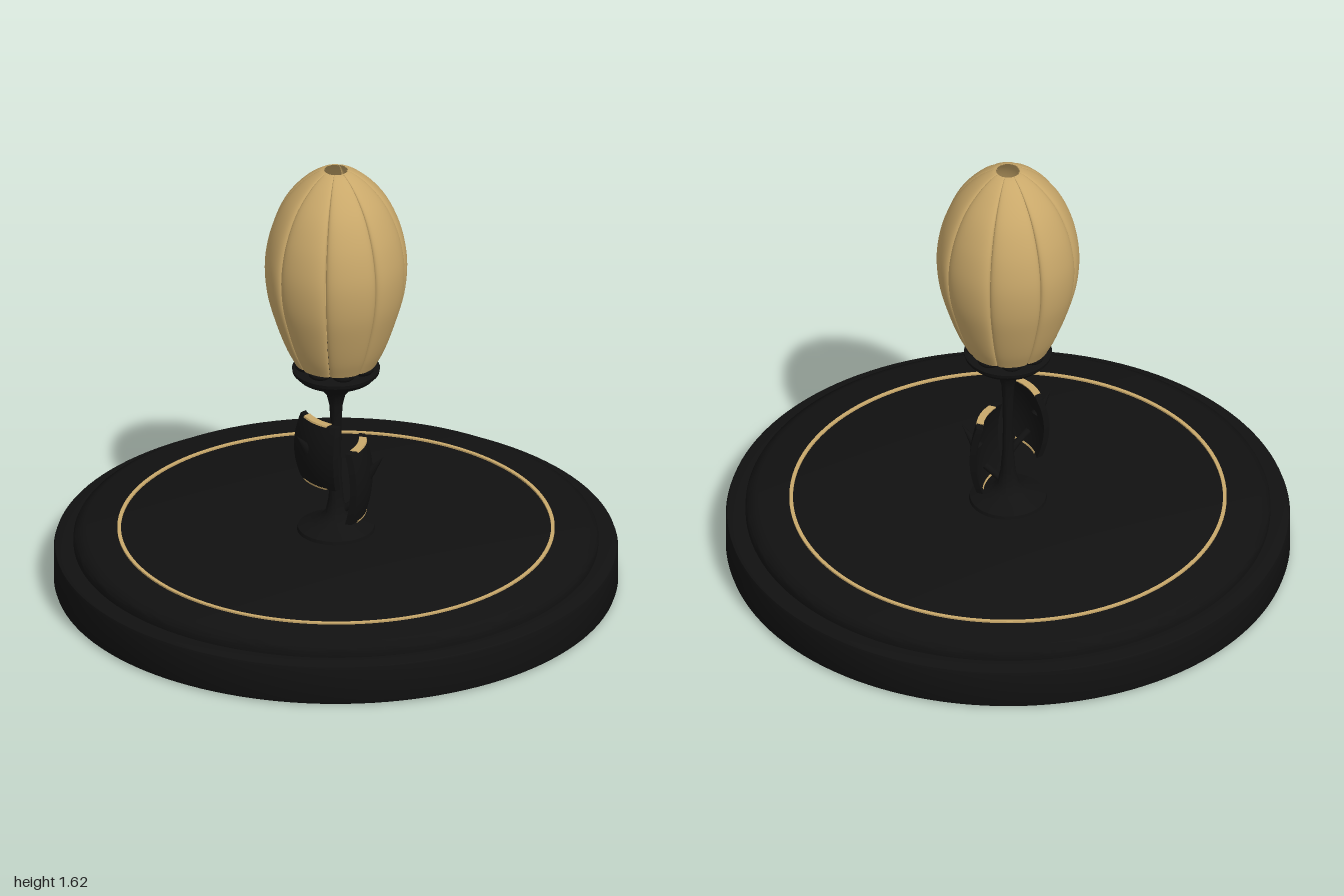
import * as THREE from 'three';
import { toCreasedNormals } from 'three/addons/utils/BufferGeometryUtils.js';

const V2 = (p) => p.map(([x, y]) => new THREE.Vector2(x, y));

export function createModel() {
  const black = new THREE.MeshStandardMaterial({ color: 0x111111 });
  black.name = 'black';
  const gold = new THREE.MeshStandardMaterial({ color: 0xc9a86a, side: THREE.DoubleSide });
  gold.name = 'gold';

  const model = new THREE.Group();
  const add = (name, geometry, material, parent = model) => {
    const mesh = new THREE.Mesh(geometry, material);
    mesh.name = name;
    parent.add(mesh);
    return mesh;
  };
  const lathe = (points, segments = 96) =>
    toCreasedNormals(new THREE.LatheGeometry(V2(points), segments), 0.6);

  // Stepped round base with softened rims
  add('base', lathe([
    [0, 0], [0.985, 0], [0.996, 0.006], [1, 0.018], [1, 0.137], [0.996, 0.149], [0.985, 0.155],
    [0.93, 0.155], [0.93, 0.18], [0.925, 0.19], [0.9, 0.205], [0.885, 0.21], [0, 0.21],
  ], 128), black);

  // Inlaid ring
  add('inlayRing', lathe([[0.762, 0.209], [0.775, 0.209], [0.775, 0.216], [0.762, 0.216], [0.762, 0.209]], 128), gold);

  // Foot, stem and flared cup in one turned profile
  add('stem', lathe([
    [0, 0.21], [0.138, 0.21], [0.135, 0.222], [0.1, 0.238], [0.06, 0.256], [0.038, 0.28], [0.027, 0.33],
    [0.02, 0.42], [0.018, 0.52], [0.02, 0.64], [0.024, 0.7], [0.034, 0.742], [0.06, 0.77],
    [0.1, 0.793], [0.135, 0.812], [0.154, 0.832], [0.156, 0.845], [0.145, 0.85], [0, 0.852],
  ], 48), black);

  // Petals: ribs of half-elliptic section following the bud profile
  const ridge = new THREE.CatmullRomCurve3([
    [0.148, 0.875], [0.18, 0.94], [0.216, 1.04], [0.243, 1.14], [0.253, 1.24], [0.247, 1.32],
    [0.225, 1.41], [0.18, 1.505], [0.115, 1.58], [0.06, 1.618], [0.042, 1.624],
  ].map(([r, y]) => new THREE.Vector3(r, y, 0)));
  const petalGeometry = new THREE.PlaneGeometry(1, 1, 20, 44);
  const pos = petalGeometry.attributes.position;
  for (let i = 0; i < pos.count; i++) {
    const a = pos.getX(i) * Math.PI * 1.2;
    const p = ridge.getPoint(pos.getY(i) + 0.5);
    const seam = p.x * 0.875;
    const width = seam * Math.tan(THREE.MathUtils.degToRad(22.2));
    pos.setXYZ(i, width * Math.sin(a), p.y, seam + (p.x - seam) * Math.cos(a));
  }
  petalGeometry.computeVertexNormals();

  const bud = new THREE.Group();
  bud.name = 'bud';
  model.add(bud);
  const pad = new THREE.SphereGeometry(1, 16, 10);
  for (let i = 0; i < 8; i++) {
    const angle = (i * Math.PI) / 4;
    add('petal', petalGeometry, gold, bud).rotation.y = angle;
    // Small dark pad under each petal
    const foot = add('petalPad', pad, black, bud);
    foot.scale.set(0.042, 0.022, 0.042);
    foot.position.set(0.108 * Math.sin(angle), 0.866, 0.108 * Math.cos(angle));
  }

  // Curved panel leaves: slices of a plate bowed outwards
  const leafSlice = (from, to, spread, thick, height) => {
    const g = new THREE.BoxGeometry(1, 1, 1, 10, 14, 1);
    const q = g.attributes.position;
    for (let i = 0; i < q.count; i++) {
      const u = q.getX(i) * 2;
      const v = THREE.MathUtils.lerp(from, to, q.getY(i) + 0.5);
      const s = 1 - (2 * v - 1) ** 2;
      q.setXYZ(i, u * spread * (0.09 + 0.012 * s), v * height,
        q.getZ(i) * thick + 0.022 * s - 0.022 * u * u * spread * spread);
    }
    return toCreasedNormals(g, 0.6);
  };
  const makeLeaf = (name, side, bottom, height) => {
    const leaf = new THREE.Group();
    leaf.name = name;
    add('leafPlate', leafSlice(0, 1, 1, 0.024, height), black, leaf);
    add('leafTopTrim', leafSlice(0.985, 1.01, 0.65, 0.027, height), gold, leaf);
    add('leafBottomTrim', leafSlice(-0.01, 0.015, 0.65, 0.027, height), gold, leaf);
    // Thorn curling up from the outer face
    const thorn = add('thorn', new THREE.ConeGeometry(0.022, 0.1, 10), black, leaf);
    thorn.position.set(side * 0.02, height * 0.68, 0.046);
    thorn.rotation.x = 0.65;
    leaf.position.set(side * 0.082, bottom, 0.038);
    leaf.rotation.y = side * 1.06;
    model.add(leaf);
    // Short stalk joining the leaf to the stem
    const stalk = new THREE.CatmullRomCurve3([
      new THREE.Vector3(0, bottom - 0.02, 0),
      new THREE.Vector3(side * 0.03, bottom + 0.02, 0.012),
      new THREE.Vector3(side * 0.078, bottom + 0.06, 0.036),
    ]);
    add('leafStalk', new THREE.TubeGeometry(stalk, 12, 0.013, 8), black);
  };
  makeLeaf('leftLeaf', 1, 0.272, 0.276);
  makeLeaf('rightLeaf', -1, 0.412, 0.248);

  return model;
}
